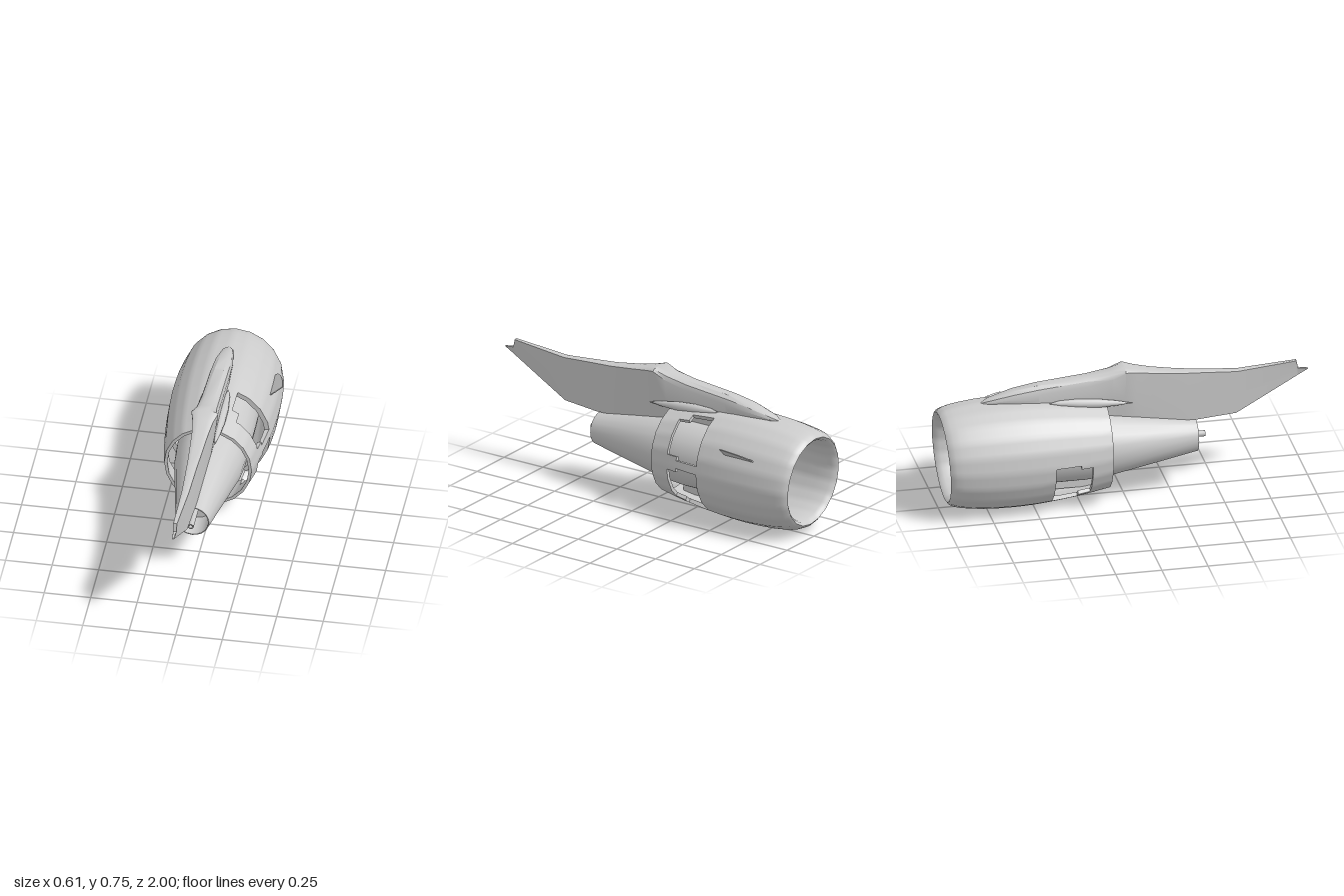
import * as THREE from 'three';
import { toCreasedNormals, mergeVertices } from 'three/addons/utils/BufferGeometryUtils.js';

const CX = -0.015, CY = 0.312; // engine axis
const material = new THREE.MeshStandardMaterial({ color: 0xcccccc, side: THREE.DoubleSide });

function addMesh(group, name, geometry) {
  const mesh = new THREE.Mesh(geometry, material);
  mesh.name = name;
  group.add(mesh);
  return mesh;
}

// Collects quads into one geometry with sharp edges kept
function quadBuilder() {
  const pos = [];
  return {
    quad(a, b, c, d) {
      for (const p of [a, b, c, a, c, d]) pos.push(...p);
    },
    build(crease = 0.7) {
      const g = new THREE.BufferGeometry();
      g.setAttribute('position', new THREE.Float32BufferAttribute(pos, 3));
      return toCreasedNormals(mergeVertices(g, 1e-5), crease);
    },
  };
}

// Twenty-sided cowl shell with stepped side openings
function cowl() {
  const SIDES = 20, SUB = 4, N = SIDES * SUB;
  // z, outer radius, inner radius
  const rows = [
    [-0.10, 0.245, 0.228], [-0.16, 0.256, 0.238], [-0.215, 0.266, 0.246], [-0.28, 0.276, 0.254],
    [-0.36, 0.286, 0.262], [-0.42, 0.292, 0.265], [-0.5, 0.299, 0.258], [-0.6, 0.303, 0.246],
    [-0.7, 0.302, 0.236], [-0.8, 0.297, 0.226], [-0.88, 0.288, 0.219], [-0.93, 0.28, 0.22],
    [-0.965, 0.271, 0.225], [-0.988, 0.26, 0.232], [-1.0, 0.246, 0.246],
  ];
  const spans = [[2, 15, 1, 0], [67, 80, 0, 1], [40, 53, 1, 0]];
  const solid = (i, j) => {
    if (i < 0) return false;
    if (i < 2 || i > 4) return true;
    const k = (j + N) % N;
    return !spans.some(([s, e, ds, de]) => {
      const narrow = i === 2 ? 1 : 0;
      // both ends close in near the trailing band
      return k >= s + narrow * (ds ? 1 : 2) && k < e - narrow * (de ? 1 : 2);
    });
  };
  const point = (i, j, side) => {
    const [z, ...radii] = rows[i];
    const k = Math.floor(j / SUB), t = (j % SUB) / SUB, step = (2 * Math.PI) / SIDES;
    const c = THREE.MathUtils.lerp(Math.cos(k * step), Math.cos((k + 1) * step), t);
    const s = THREE.MathUtils.lerp(Math.sin(k * step), Math.sin((k + 1) * step), t);
    const lean = 0.015 * (1 - s) * THREE.MathUtils.clamp((-z - 0.6) / 0.4, 0, 1);
    return [CX + 0.96 * radii[side] * c, CY + radii[side] * s, z + lean];
  };
  const q = quadBuilder();
  for (let i = 0; i < rows.length - 1; i++) {
    for (let j = 0; j < N; j++) {
      if (!solid(i, j)) continue;
      const corners = [[i, j], [i, j + 1], [i + 1, j + 1], [i + 1, j]];
      const o = corners.map(([a, b]) => point(a, b, 0));
      const n = corners.map(([a, b]) => point(a, b, 1));
      q.quad(o[0], o[3], o[2], o[1]);
      q.quad(n[0], n[1], n[2], n[3]);
      // edge walls at openings and at the trailing edge
      const neighbours = [[i - 1, j], [i, j + 1], [i + 1, j], [i, j - 1]];
      neighbours.forEach(([a, b], e) => {
        const f = (e + 1) % 4;
        if (!solid(a, b)) q.quad(o[e], o[f], n[f], n[e]);
      });
    }
  }
  return q.build();
}

// Profile of [radius, z] spun about the engine axis
function spun(profile, segments, crease = 0.6) {
  const g = new THREE.LatheGeometry(profile.map(([r, z]) => new THREE.Vector2(r, z)), segments);
  g.rotateX(Math.PI / 2);
  g.translate(CX, CY, 0);
  return toCreasedNormals(g, crease);
}

// Pylon lofted along z from tapered cross-sections
function pylon() {
  // z, bottom y, top y, bottom half width, top half width, shoulder drop
  const rows = [
    [-0.775, 0.6, 0.61, 0.004, 0.006, 0.004], [-0.73, 0.6, 0.634, 0.025, 0.03, 0.02],
    [-0.6, 0.6, 0.672, 0.045, 0.05, 0.04], [-0.47, 0.59, 0.693, 0.05, 0.055, 0.045],
    [-0.45, 0.48, 0.695, 0.035, 0.055, 0.045], [-0.2, 0.48, 0.718, 0.035, 0.057, 0.045],
    [-0.07, 0.475, 0.738, 0.035, 0.062, 0.035], [0, 0.465, 0.755, 0.033, 0.072, 0.015],
    [0.06, 0.452, 0.738, 0.03, 0.055, 0.01], [0.15, 0.435, 0.718, 0.026, 0.044, 0.006],
    [0.3, 0.41, 0.695, 0.02, 0.034, 0.004], [0.4, 0.405, 0.687, 0.016, 0.028, 0.004],
    [0.61, 0.42, 0.67, 0.01, 0.02, 0.004], [0.935, 0.602, 0.695, 0.004, 0.01, 0.003],
    [0.945, 0.608, 0.65, 0.004, 0.009, 0.003], [1.0, 0.637, 0.642, 0.002, 0.004, 0.001],
  ];
  const sections = rows.map(([z, yb, yt, wb, wt, d]) => {
    const half = [
      [wb, yb], [(wb + wt) / 2, yb + (yt - d - yb) * 0.45], [wt, yt - d],
      [wt * 0.85, yt - d * 0.4], [wt * 0.45, yt - d * 0.06],
    ];
    const left = half.map(([x, y]) => [-x, y]).reverse();
    return [...half, ...left].map(([x, y]) => [CX + x, y, z]);
  });
  const q = quadBuilder();
  const n = sections[0].length;
  for (let i = 0; i < sections.length - 1; i++) {
    const a = sections[i], b = sections[i + 1];
    for (let j = 0; j < n; j++) {
      const k = (j + 1) % n;
      q.quad(a[j], a[k], b[k], b[j]);
    }
  }
  // end caps
  for (const s of [sections[0], sections.at(-1)]) {
    for (let j = 0; j < n / 2 - 1; j++) q.quad(s[j], s[j + 1], s[n - 2 - j], s[n - 1 - j]);
  }
  return q.build(0.6);
}

// Thin curved fin standing out from the cowl side
function strake() {
  const shape = new THREE.Shape();
  shape.moveTo(-0.02, -0.77);
  shape.lineTo(0, -0.77);
  shape.quadraticCurveTo(0.05, -0.72, 0.072, -0.6);
  shape.lineTo(0.02, -0.59);
  shape.lineTo(-0.02, -0.59);
  const g = new THREE.ExtrudeGeometry(shape, { depth: 0.005, bevelEnabled: false });
  const out = new THREE.Vector3(0.77, 0.63, 0).normalize();
  const along = new THREE.Vector3(0, 0, 1);
  const m = new THREE.Matrix4().makeBasis(out, along, out.clone().cross(along));
  return g.applyMatrix4(m.setPosition(0.245, 0.467, 0));
}

export function createModel() {
  const model = new THREE.Group();
  model.name = 'jetEngine';
  addMesh(model, 'cowl', cowl());

  // Core body with recessed exhaust
  addMesh(model, 'core', spun([
    [0, -0.6], [0.188, -0.6], [0.19, -0.45], [0.19, -0.22], [0.181, -0.1], [0.137, 0.14],
    [0.09, 0.392], [0.085, 0.392], [0.085, 0.24], [0, 0.24],
  ], 20));
  addMesh(model, 'exhaustPipe', spun([
    [0.016, 0.24], [0.016, 0.442], [0.01, 0.442], [0.01, 0.41], [0, 0.41],
  ], 12));

  addMesh(model, 'pylon', pylon());

  // Pointed fairings on both sides of the pylon
  for (const side of [-1, 1]) {
    const profile = [[0, -0.42], [0.016, -0.36], [0.026, -0.26], [0.025, -0.16], [0.014, -0.05], [0, 0.04]];
    const g = new THREE.LatheGeometry(profile.map(([r, z]) => new THREE.Vector2(r, z)), 10);
    g.rotateX(Math.PI / 2);
    const fairing = addMesh(model, 'pylonFairing', g);
    fairing.position.set(CX + side * 0.058, 0.56, 0);
    fairing.rotation.x = 0.085;
  }

  addMesh(model, 'strake', strake());

  // Thin lower duct divider
  const divider = addMesh(model, 'ductDivider', new THREE.BoxGeometry(0.004, 0.07, 0.3));
  divider.position.set(CX, 0.1, -0.3);

  // Small probe between cowl and core
  const probe = new THREE.Group();
  probe.name = 'ductProbe';
  addMesh(probe, 'probeStem', new THREE.CylinderGeometry(0.004, 0.004, 0.08, 8));
  addMesh(probe, 'probeCollar', new THREE.CylinderGeometry(0.01, 0.01, 0.02, 8)).position.y = -0.018;
  probe.position.set(-0.18, 0.452, -0.3);
  probe.rotation.z = 0.87;
  model.add(probe);

  return model;
}
